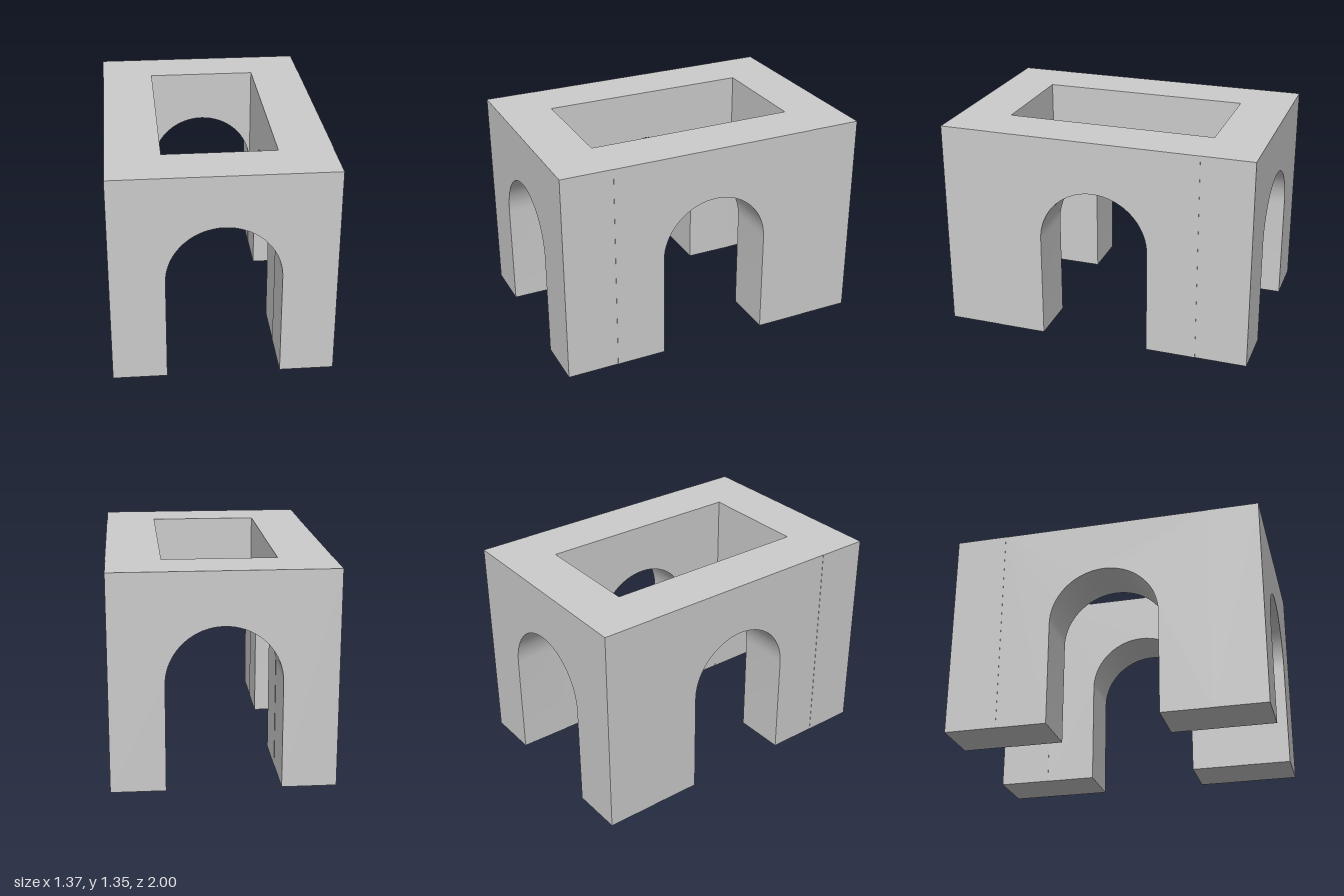
import * as THREE from 'three';
import { toCreasedNormals } from 'three/addons/utils/BufferGeometryUtils.js';

const HEIGHT = 1.35;      // top of the walls
const SPRING = 0.67;      // height where the arches begin
const RADIUS = 0.35;      // arch radius
const THICK = 0.335;      // wall thickness

// Wall of the given length with a round-headed opening, thickness centred on z
function archedWall(length, thickness) {
  const h = length / 2;
  const s = new THREE.Shape();
  s.moveTo(-h, 0);
  s.lineTo(-RADIUS, 0);
  s.lineTo(-RADIUS, SPRING);
  s.absarc(0, SPRING, RADIUS, Math.PI, 0, true);
  s.lineTo(RADIUS, 0);
  s.lineTo(h, 0);
  s.lineTo(h, HEIGHT);
  s.lineTo(-h, HEIGHT);
  s.closePath();
  const g = new THREE.ExtrudeGeometry(s, { depth: thickness, bevelEnabled: false, curveSegments: 17 });
  g.translate(0, 0, -thickness / 2);
  return toCreasedNormals(g, 0.5);
}

export function createModel() {
  const group = new THREE.Group();
  const material = new THREE.MeshStandardMaterial({ color: 0xcccccc });
  const endGeometry = archedWall(1.37, 0.33);
  const sideGeometry = archedWall(1.34, THICK);

  // End walls span the full width
  for (const [name, side] of [['frontWall', 1], ['backWall', -1]]) {
    const wall = new THREE.Mesh(endGeometry, material);
    wall.name = name;
    wall.position.set(-0.002, 0, side * 0.835);
    group.add(wall);
  }

  // Side walls fit between the end walls
  for (const [name, side] of [['leftWall', 1], ['rightWall', -1]]) {
    const wall = new THREE.Mesh(sideGeometry, material);
    wall.name = name;
    wall.rotation.y = side * Math.PI / 2;
    wall.position.x = side * (0.685 - THICK / 2);
    group.add(wall);
  }
  return group;
}
